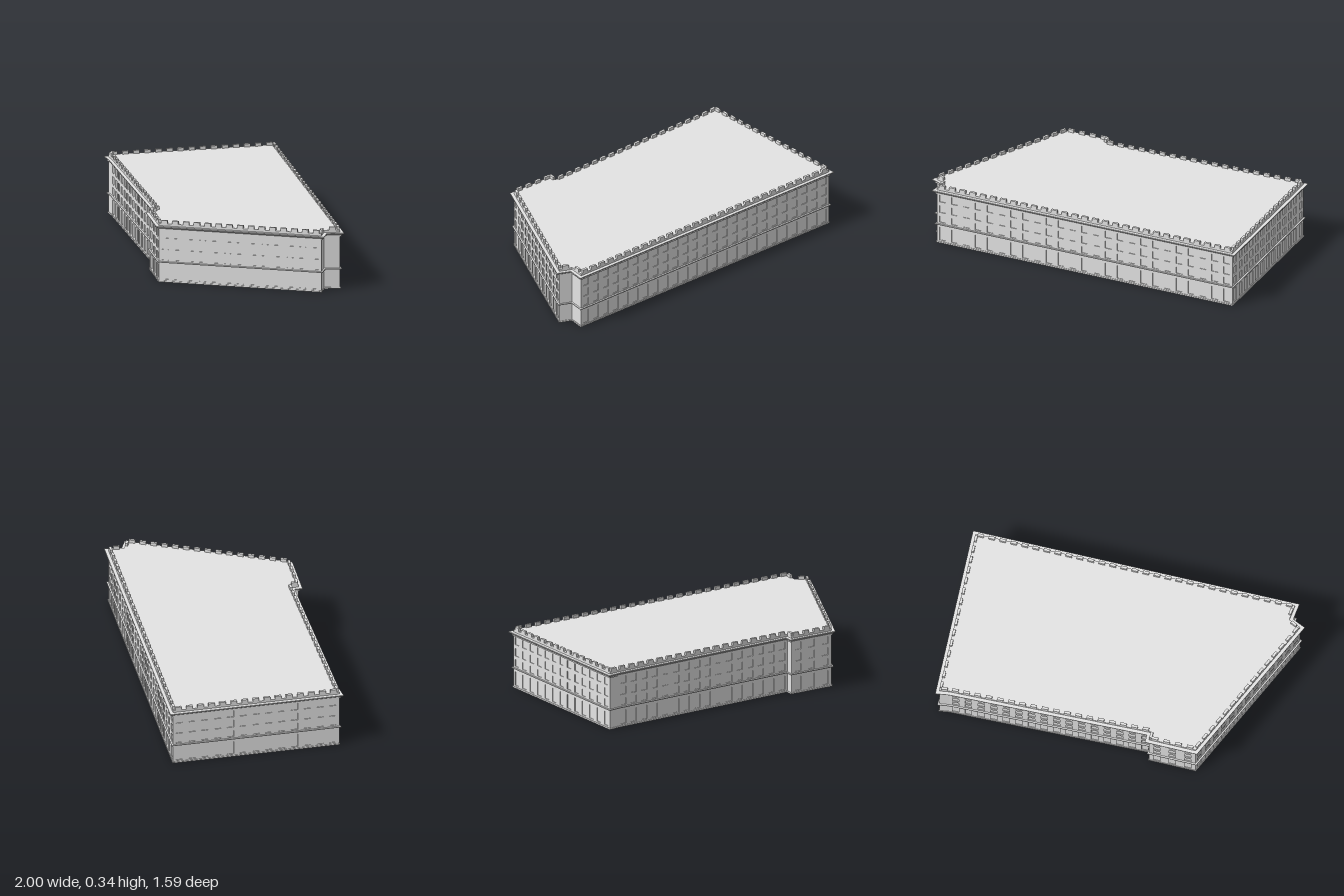
import * as THREE from 'three';
import { mergeGeometries } from 'three/addons/utils/BufferGeometryUtils.js';

// Wall line as [x, z] corners, and the number of window bays on the wall that starts at each corner
const PLAN = [[-0.505, -0.77], [0.97, 0.175], [0.915, 0.24], [0.955, 0.3], [0.2, 0.775],
  [-0.015, 0.635], [0.01, 0.6], [-0.93, 0.028], [-0.98, 0.005]];
const BAYS = [25, 0, 0, 13, 3, 0, 16, 0, 13];
// Window rows: [sill, head]
const ROWS = [[0.016, 0.092], [0.122, 0.16], [0.18, 0.222], [0.243, 0.283]];
const REVEAL = 0.004, WINDOW = 0.036, ROOF = 0.323;

const N = PLAN.length;
const EDGES = PLAN.map((a, i) => {
  const b = PLAN[(i + 1) % N];
  const length = Math.hypot(b[0] - a[0], b[1] - a[1]);
  return { b, length, n: [(b[1] - a[1]) / length, (a[0] - b[0]) / length] };
});

// Footprint moved outwards by a distance, with mitred corners
function footprint(offset) {
  return PLAN.map(([x, z], i) => {
    const p = EDGES[(i + N - 1) % N].n, q = EDGES[i].n;
    const k = offset / (1 + p[0] * q[0] + p[1] * q[1]);
    return [x + (p[0] + q[0]) * k, z + (p[1] + q[1]) * k];
  });
}

// Moulding around the building from an [offset, y] profile running upwards
function moulding(profile) {
  const loops = profile.map(([offset, y]) => footprint(offset).map(([x, z]) => [x, y, z]));
  const points = [];
  for (let j = 0; j + 1 < loops.length; j++) {
    for (let i = 0; i < N; i++) {
      const k = (i + 1) % N;
      const a = loops[j][i], b = loops[j][k], c = loops[j + 1][k], d = loops[j + 1][i];
      points.push(...a, ...d, ...c, ...a, ...c, ...b);
    }
  }
  const geometry = new THREE.BufferGeometry();
  geometry.setAttribute('position', new THREE.Float32BufferAttribute(points, 3));
  geometry.computeVertexNormals();
  return geometry;
}

// Sunk window: a shallow box without its front face
function windowRecess(x, y0, y1) {
  const box = new THREE.BoxGeometry(WINDOW, y1 - y0, REVEAL);
  const index = Array.from(box.index.array);
  index.splice(24, 6);
  // Turn the faces to look into the recess
  for (let k = 0; k < index.length; k += 3) [index[k], index[k + 1]] = [index[k + 1], index[k]];
  box.setIndex(index);
  const flat = box.toNonIndexed();
  flat.computeVertexNormals();
  return flat.translate(x, (y0 + y1) / 2, -REVEAL / 2);
}

const rectangle = (x0, y0, x1, y1) => [[x0, y0], [x1, y0], [x1, y1], [x0, y1]]
  .map(([x, y]) => new THREE.Vector2(x, y));

export function createModel() {
  const group = new THREE.Group();
  const stone = new THREE.MeshStandardMaterial({ color: 0xe4e4e4, side: THREE.DoubleSide });
  stone.name = 'light grey stone';

  function add(name, geometry, parent = group) {
    const mesh = new THREE.Mesh(geometry, stone);
    mesh.name = name;
    parent.add(mesh);
    return mesh;
  }

  // Flat roof over the hollow, open-bottomed shell
  const outline = new THREE.Shape(PLAN.map(([x, z]) => new THREE.Vector2(x, -z)));
  add('roof', new THREE.ShapeGeometry(outline).rotateX(-Math.PI / 2).translate(0, ROOF, 0));

  // Bands around the walls
  add('plinth', moulding([[0.003, 0], [0.003, 0.008], [0, 0.008]]));
  add('stringCourse', moulding([[0, 0.106], [0.008, 0.108], [0.008, 0.113], [0, 0.114]]));
  add('cornice', moulding([[0, 0.29], [0.006, 0.29], [0.006, 0.297], [0.018, 0.306],
    [0.018, 0.311], [0, 0.311]]));

  EDGES.forEach((edge, i) => {
    const side = new THREE.Group();
    side.name = 'side' + (i + 1);
    side.position.set(edge.b[0], 0, edge.b[1]);
    side.rotation.y = Math.atan2(edge.n[0], edge.n[1]);
    group.add(side);

    // Wall skin, pierced for the windows
    const skin = new THREE.Shape(rectangle(0, 0, edge.length, ROOF));
    const recesses = [];
    for (let k = 0; k < BAYS[i]; k++) {
      const x = (k + 0.5) * edge.length / BAYS[i];
      for (const [y0, y1] of ROWS) {
        skin.holes.push(new THREE.Path(rectangle(x - WINDOW / 2, y0, x + WINDOW / 2, y1)));
        recesses.push(windowRecess(x, y0, y1));
      }
    }
    add('wall', new THREE.ShapeGeometry(skin), side);
    if (recesses.length) add('windows', mergeGeometries(recesses), side);

    // Merlons along the roof edge
    const count = Math.max(1, Math.round(edge.length / 0.06));
    for (let k = 0; k < count; k++) {
      const merlon = add('merlon', new THREE.BoxGeometry(0.034, 0.017, 0.014), side);
      merlon.position.set((k + 0.5) * edge.length / count, ROOF + 0.0085, -0.007);
    }
  });
  return group;
}
